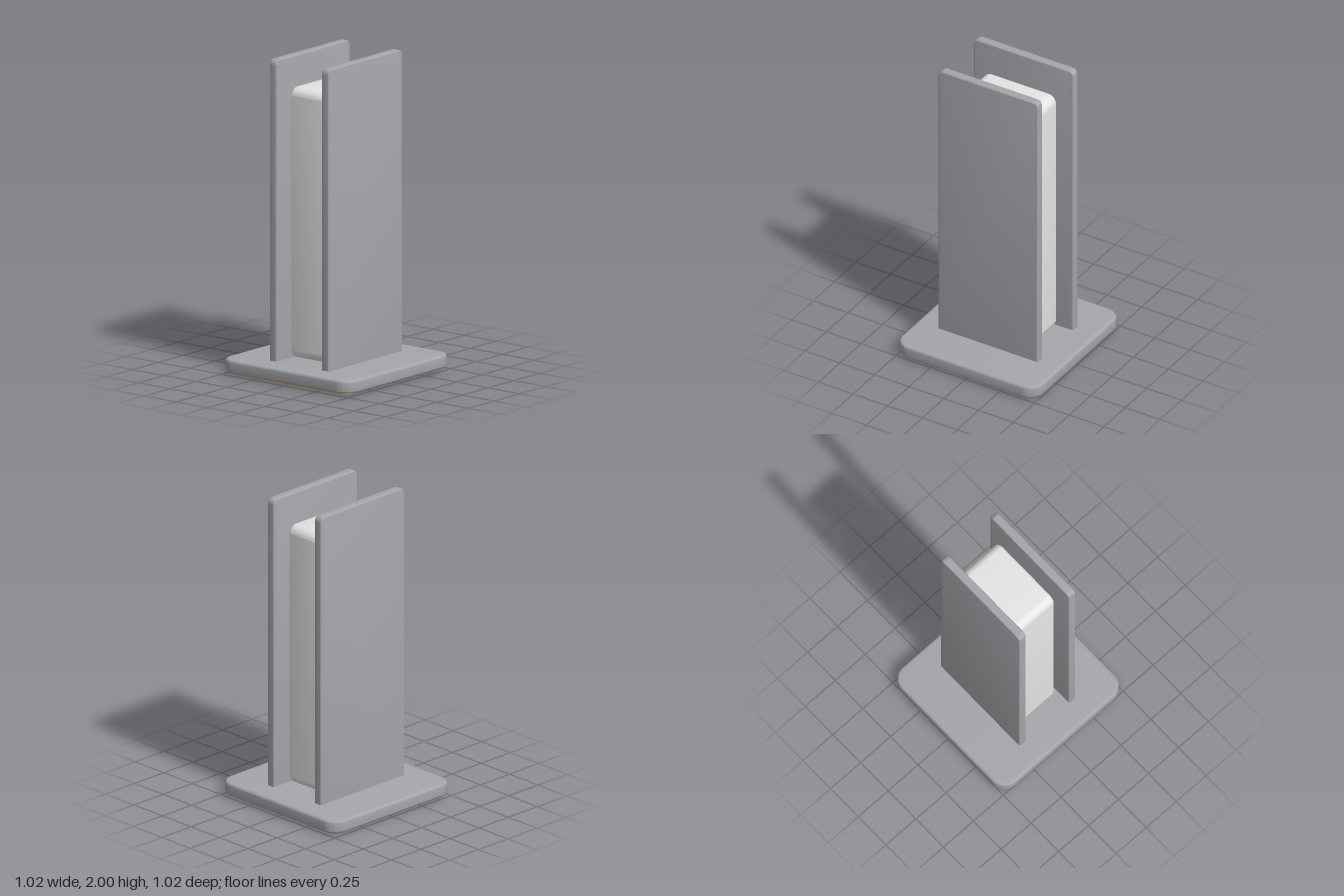
import * as THREE from 'three';
import { toCreasedNormals } from 'three/addons/utils/BufferGeometryUtils.js';

// Rounded rectangle w x h, extruded to depth d along z with a soft bevel, centred on the origin
function roundedSlab(w, h, d, radius, bevel) {
  const x = w / 2, y = h / 2, r = radius;
  const shape = new THREE.Shape();
  shape.moveTo(-x + r, -y);
  shape.lineTo(x - r, -y);
  shape.absarc(x - r, -y + r, r, -Math.PI / 2, 0);
  shape.lineTo(x, y - r);
  shape.absarc(x - r, y - r, r, 0, Math.PI / 2);
  shape.lineTo(-x + r, y);
  shape.absarc(-x + r, y - r, r, Math.PI / 2, Math.PI);
  shape.lineTo(-x, -y + r);
  shape.absarc(-x + r, -y + r, r, Math.PI, Math.PI * 1.5);
  const geometry = new THREE.ExtrudeGeometry(shape, {
    depth: d - 2 * bevel,
    bevelEnabled: bevel > 0,
    bevelThickness: bevel,
    bevelSize: bevel,
    bevelOffset: -bevel,
    bevelSegments: 4,
    curveSegments: 10,
  });
  geometry.translate(0, 0, -d / 2 + bevel);
  return toCreasedNormals(geometry, 0.5);
}

function material(name, color) {
  const m = new THREE.MeshStandardMaterial({ color });
  m.name = name;
  return m;
}

export function createModel() {
  const model = new THREE.Group();
  model.name = 'standWithBlock';

  const grey = material('grey metal', 0xa5a6aa);
  const light = material('light grey', 0xe6e6e6);
  const brown = material('brown cork', 0xdf9040);

  function add(name, geometry, mat, x, y) {
    const mesh = new THREE.Mesh(geometry, mat);
    mesh.name = name;
    mesh.position.set(x, y, 0);
    model.add(mesh);
  }

  // Square base plate and the pad beneath it
  add('base', roundedSlab(1.02, 1.02, 0.084, 0.1, 0.016).rotateX(-Math.PI / 2), grey, 0, 0.058);
  add('bottomPad', roundedSlab(0.91, 0.91, 0.02, 0.05, 0).rotateX(-Math.PI / 2), brown, 0, 0.01);

  // Two upright side panels, their lower ends sunk into the base
  const panel = roundedSlab(0.718, 1.94, 0.055, 0.035, 0.008).rotateY(Math.PI / 2);
  for (const [name, side] of [['leftPanel', 1], ['rightPanel', -1]]) {
    add(name, panel, grey, side * 0.2065, 1.03);
  }

  // Rounded block held between the panels
  const block = roundedSlab(0.522, 1.705, 0.302, 0.06, 0.018).rotateY(Math.PI / 2);
  add('centreBlock', block, light, 0, 0.9625);

  return model;
}
